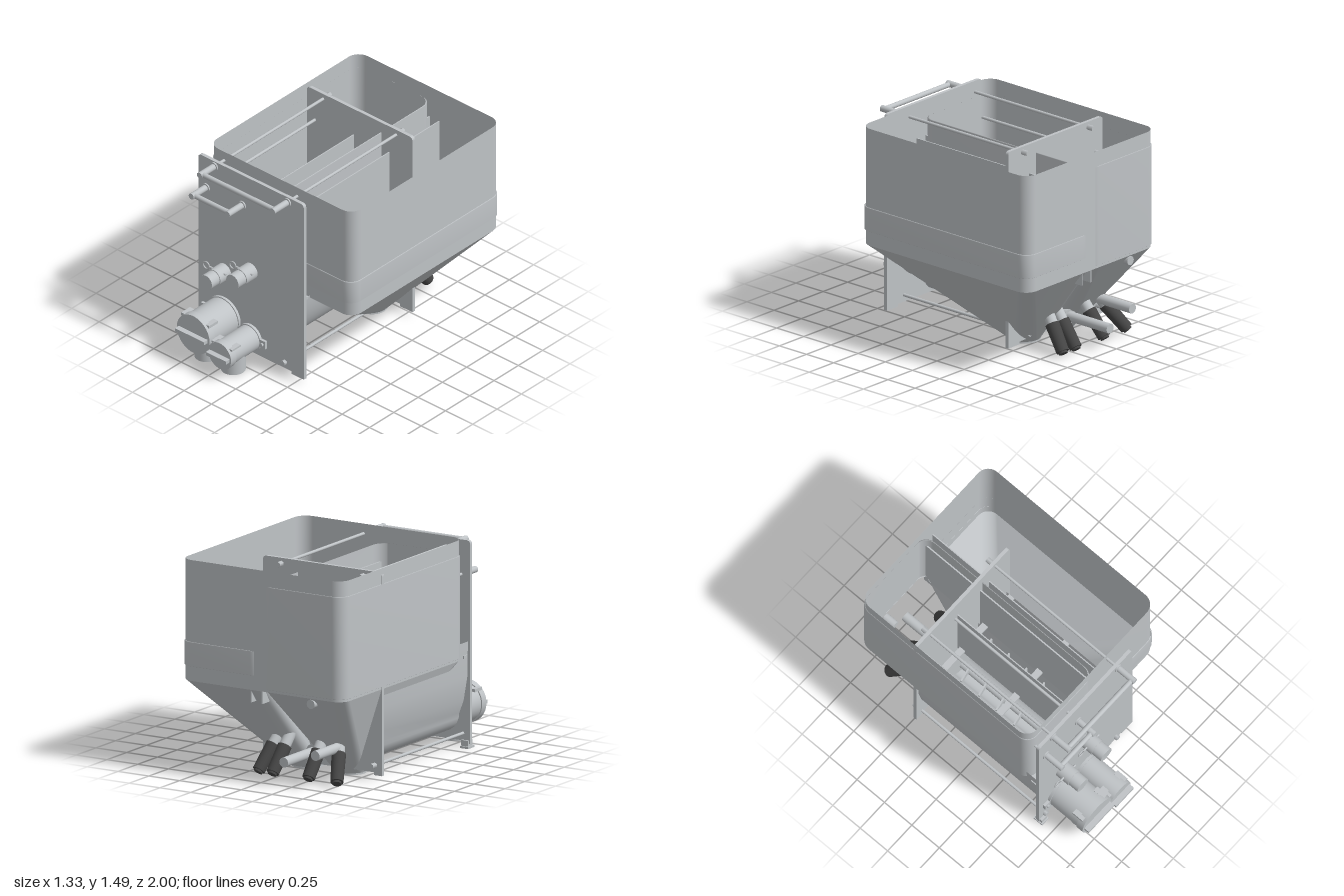
import * as THREE from 'three';

const steel = new THREE.MeshStandardMaterial({ color: 0xbfc3c6 });
steel.name = 'brushed steel';
const sheet = new THREE.MeshStandardMaterial({ color: 0xbfc3c6, side: THREE.DoubleSide });
sheet.name = 'thin sheet steel';
const grip = new THREE.MeshStandardMaterial({ color: 0x454545 });
grip.name = 'dark grip';

export function createModel() {
  const model = new THREE.Group();
  model.name = 'twinFeederHopper';

  const add = (name, geo, mat = steel, parent = model) => {
    const m = new THREE.Mesh(geo, mat);
    m.name = name;
    parent.add(m);
    return m;
  };
  const box = (name, x0, x1, y0, y1, z0, z1, mat = steel) => {
    const m = add(name, new THREE.BoxGeometry(x1 - x0, y1 - y0, z1 - z0), mat);
    m.position.set((x0 + x1) / 2, (y0 + y1) / 2, (z0 + z1) / 2);
    return m;
  };
  // cylinder between two points
  const rod = (name, a, b, r, mat = steel, sides = 24, r2 = r, open = false) => {
    const p = new THREE.Vector3(...a), q = new THREE.Vector3(...b);
    const d = q.clone().sub(p);
    const m = add(name, new THREE.CylinderGeometry(r2, r, d.length(), sides, 1, open), mat);
    m.position.copy(p).add(q).multiplyScalar(0.5);
    m.quaternion.setFromUnitVectors(new THREE.Vector3(0, 1, 0), d.normalize());
    return m;
  };
  // skin over rows of points
  const skin = (rows) => {
    const n = rows[0].length, index = [];
    for (let r = 0; r < rows.length - 1; r++) {
      for (let i = 0; i < n - 1; i++) {
        const a = r * n + i, b = a + n;
        index.push(a, a + 1, b, a + 1, b + 1, b);
      }
    }
    const g = new THREE.BufferGeometry();
    g.setAttribute('position', new THREE.Float32BufferAttribute(rows.flat(2), 3));
    g.setIndex(index);
    g.computeVertexNormals();
    return g;
  };
  // rounded rectangle in the horizontal plane
  const ring = (x0, x1, z0, z1, r, y) => {
    const pts = [], S = 8;
    const corners = [[x1 - r, z1 - r], [x0 + r, z1 - r], [x0 + r, z0 + r], [x1 - r, z0 + r]];
    corners.forEach(([cx, cz], c) => {
      for (let i = 0; i <= S; i++) {
        const t = (c + i / S) * Math.PI / 2;
        pts.push([cx + r * Math.cos(t), y, cz + r * Math.sin(t)]);
      }
    });
    pts.push([...pts[0]]);
    return pts;
  };

  // hopper walls with pressed bands
  const R = 0.09;
  add('hopperWall', skin([ring(-0.66, 0.655, -0.995, 0.54, R, 1.49), ring(-0.66, 0.655, -0.995, 0.54, R, 0.64)]), sheet);
  const band = (name, x0, x1, z1, y1, y0) => add(name, skin([
    ring(x0 + 0.006, x1 - 0.006, -0.994, z1 - 0.006, R, y1), ring(x0, x1, -1, z1, R, y1 - 0.004),
    ring(x0, x1, -1, z1, R, y0), ring(x0 + 0.006, x1 - 0.006, -0.994, z1 - 0.006, R, y0 - 0.004)]), sheet);
  band('rightTankBand', 0.0, 0.661, 0.55, 0.915, 0.745);
  band('leftTankBand', -0.665, 0.02, 0.545, 1.38, 0.66);

  // two funnels, each ending in a round outlet
  const funnel = (name, x0, x1, cx, mat) => add(name, skin([
    ring(x0, x1, -0.995, 0.54, R, 0.64), ring(cx - 0.11, cx + 0.11, -0.5, -0.28, 0.109, 0.012)]), mat);
  funnel('rightFunnel', -0.02, 0.655, 0.01, sheet);
  funnel('leftFunnel', -0.66, 0.0, -0.34, steel);
  for (const cx of [0.01, -0.34]) {
    rod('outletCollar', [cx, 0, -0.39], [cx, 0.05, -0.39], 0.11, sheet, 32, 0.11, true);
  }

  // dividers inside the hopper
  box('centreDivider', -0.005, 0.005, 0.55, 1.25, -0.99, 0.53);
  box('rightDivider', 0.085, 0.093, 0.55, 1.25, -0.99, 0.53);
  box('innerBaffle', -0.24, -0.232, 0.6, 1.25, -0.48, 0.53);

  // front and back end plates with a stepped foot
  const plate = (name, z) => {
    const s = new THREE.Shape();
    s.moveTo(-0.663, 0.03);
    s.lineTo(-0.6, 0.03);
    s.lineTo(-0.6, 0.05);
    s.lineTo(0.19, 0.05);
    s.lineTo(0.19, 0.03);
    s.lineTo(0.302, 0.03);
    s.lineTo(0.302, 1.43);
    s.quadraticCurveTo(0.302, 1.46, 0.272, 1.46);
    s.lineTo(-0.633, 1.46);
    s.quadraticCurveTo(-0.663, 1.46, -0.663, 1.43);
    const g = new THREE.ExtrudeGeometry(s, { depth: 0.025, bevelEnabled: false });
    add(name, g).position.z = z;
  };
  plate('frontPlate', 0.615);
  plate('backPlate', -0.502);
  box('footBlock', -0.655, -0.6, 0.015, 0.055, 0.6, 0.66);
  box('footPad', -0.663, -0.595, 0, 0.015, 0.59, 0.67);

  // trough with two rounded screw channels
  const section = [[-0.645, 0.75], [-0.64, 0.5], [-0.61, 0.33]];
  const arc = (cx, cy, r, a, b) => {
    for (let i = 0; i <= 10; i++) {
      const t = THREE.MathUtils.degToRad(a + (b - a) * i / 10);
      section.push([cx + r * Math.cos(t), cy + r * Math.sin(t)]);
    }
  };
  arc(-0.43, 0.24, 0.145, 180, 330);
  arc(-0.18, 0.17, 0.1, 195, 355);
  const flank = new THREE.QuadraticBezierCurve(
    new THREE.Vector2(-0.08, 0.2), new THREE.Vector2(0.22, 0.21), new THREE.Vector2(0.27, 0.66));
  flank.getPoints(14).forEach((p) => section.push([p.x, p.y]));
  add('trough', skin([0.616, -0.48].map((z) => section.map(([x, y]) => [x, y, z]))), sheet);
  for (const z of [-0.43, 0.07, 0.58]) box('troughRib', -0.65, 0.27, 0.64, 0.66, z - 0.024, z + 0.024);

  // tie rods with nuts at the back
  const tie = (x, y, r) => {
    rod('tieRod', [x, y, -0.53], [x, y, 0.63], r, steel, 16);
    rod('backNut', [x, y, -0.55], [x, y, -0.5], 0.02, steel, 6);
  };
  for (const x of [-0.605, 0.13]) {
    tie(x, 0.1, 0.011);
    rod('frontNut', [x, 0.1, 0.64], [x, 0.1, 0.665], 0.02, steel, 6);
  }

  // front handles
  const handle = (x0, x1, y) => {
    for (const x of [x0, x1]) {
      tie(x, y, 0.011);
      rod('handleWasher', [x, y, 0.64], [x, y, 0.65], 0.033);
      rod('handlePost', [x, y, 0.64], [x, y, 0.795], 0.023);
    }
    rod('handleBar', [x0, y, 0.77], [x1, y, 0.77], 0.018);
  };
  handle(-0.515, 0.153, 1.42);
  handle(-0.59, -0.26, 1.215);

  // agitator motors with lock rings, shafts and paddles
  const agitator = (x, y, ringX, ringY, pinX) => {
    rod('agitatorMotor', [x, y, 0.63], [x, y, 0.83], 0.056, steel, 32);
    rod('motorCollar', [x, y, 0.64], [x, y, 0.75], 0.062, steel, 32);
    rod('lockPin', [ringX + 0.03, ringY, 0.7], [pinX, ringY, 0.7], 0.007, steel, 12);
    add('lockRing', new THREE.TorusGeometry(0.027, 0.005, 8, 28)).position.set(ringX, ringY, 0.7);
    rod('agitatorShaft', [x, y, -0.45], [x, y, 0.63], 0.014, steel, 16);
    for (const z of [-0.3, -0.14, 0.02, 0.18]) {
      const p = box('paddle', x + 0.01, x + 0.11, y - 0.03, y + 0.03, z - 0.006, z + 0.006);
      p.rotation.y = 0.2;
    }
  };
  agitator(-0.425, 0.6, -0.537, 0.63, -0.355);
  agitator(-0.183, 0.71, -0.295, 0.737, -0.112);

  // discharge pipes with capped ends, spouts and clamp tabs
  const discharge = (x, y, r, side) => {
    rod('dischargePipe', [x, y, 0.63], [x, y, 0.93], r - 0.008, steel, 48);
    rod('wallFlange', [x, y, 0.63], [x, y, 0.66], r, steel, 48);
    rod('endCap', [x, y, 0.905], [x, y, 0.96], r, steel, 48);
    const w = r * 0.88;
    box('capGrip', x - w, x + w, y - 0.013, y + 0.013, 0.95, 1);
    rod('spout', [x, 0, 0.82], [x, y, 0.82], 0.086, sheet, 40, 0.086, true);
    const tab = x + side * (r + 0.015);
    box('clampTab', tab - 0.03, tab + 0.03, y - 0.03, y + 0.03, 0.64, 0.66);
    rod('clampBolt', [tab + side * 0.005, y, 0.66], [tab + side * 0.005, y, 0.675], 0.012, steel, 12);
    for (const s of [-1, 1]) {
      box('bayonetLug', x + s * r * 0.72 - 0.02, x + s * r * 0.72 + 0.02, y + r * 0.62, y + r * 0.76, 0.85, 0.94);
    }
  };
  discharge(-0.425, 0.24, 0.15, -1);
  discharge(-0.183, 0.17, 0.104, 1);

  // rear screw tubes with stepped flanges
  for (const [x, y, end] of [[-0.43, 0.24, -0.985], [-0.185, 0.165, -1]]) {
    rod('screwTube', [x, y, -0.48], [x, y, end], 0.035, steel, 28);
    rod('tubeFlange', [x, y, -0.5], [x, y, -0.55], 0.075, steel, 32);
    rod('tubeClamp', [x, y, -0.56], [x, y, -0.63], 0.055, steel, 32);
    rod('feedScrew', [x, y, -0.48], [x, y, 0.62], 0.03, steel, 20);
  }

  // rear valve levers
  const levers = [
    [[-0.4, 0.32, -0.62], [-0.52, 0.04, -0.85]],
    [[-0.28, 0.32, -0.62], [-0.29, 0.04, -0.85]],
    [[-0.02, 0.32, -0.62], [0.0, 0.04, -0.85]],
    [[0.06, 0.32, -0.62], [0.12, 0.04, -0.84]],
  ];
  for (const [a, b] of levers) {
    const at = (t) => a.map((v, i) => v + (b[i] - v) * t);
    rod('leverStem', a, at(0.5), 0.04);
    rod('leverGrip', at(0.42), b, 0.05, grip, 20, 0.045);
    rod('gripEnd', b, at(1.04), 0.032, grip, 16);
  }
  rod('rearPort', [-0.4, 0.6, -0.9], [-0.4, 0.6, -0.995], 0.032);

  return model;
}
